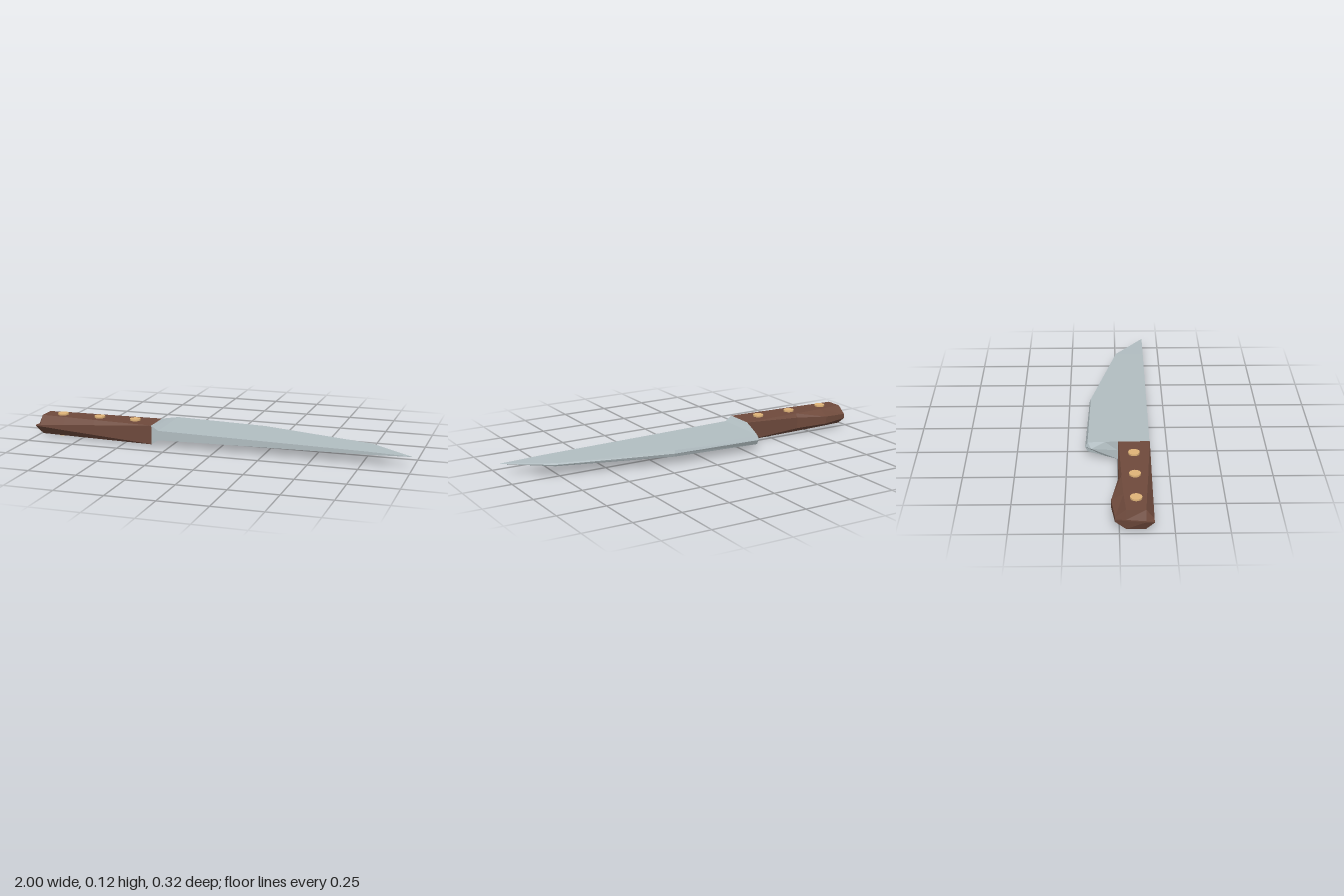
import * as THREE from 'three';

const MID = 0.059; // height of the knife's centre plane

// Skins a list of closed rings of [x, y, z] points running towards +x, with capped ends.
function loft(rings) {
  const n = rings[0].length;
  const pos = [];
  const tri = (a, b, c) => pos.push(...a, ...b, ...c);
  for (let i = 0; i < rings.length - 1; i++) {
    for (let j = 0; j < n; j++) {
      const k = (j + 1) % n;
      const a = rings[i][j], b = rings[i + 1][j], c = rings[i + 1][k], d = rings[i][k];
      tri(a, d, c);
      tri(a, c, b);
    }
  }
  const first = rings[0], last = rings[rings.length - 1];
  for (let j = 1; j < n - 1; j++) {
    tri(first[0], first[j + 1], first[j]);
    tri(last[0], last[j], last[j + 1]);
  }
  const geometry = new THREE.BufferGeometry();
  geometry.setAttribute('position', new THREE.Float32BufferAttribute(pos, 3));
  geometry.computeVertexNormals();
  return geometry;
}

// Blade cross-section: flat spine, flat sides and a pointed cutting edge.
function bladeRing([x, spine, side, edge, half]) {
  return [
    [x, MID, edge],
    [x, MID + half, side],
    [x, MID + half, spine],
    [x, MID - half, spine],
    [x, MID - half, side],
  ];
}

// Handle cross-section: flat top and bottom with chamfers to narrow front and back faces.
function handleRing([x, back, topBack, topFront, front, halfBack, halfFront, half]) {
  return [
    [x, MID - halfBack, back],
    [x, MID + halfBack, back],
    [x, MID + half, topBack],
    [x, MID + half, topFront],
    [x, MID + halfFront, front],
    [x, MID - halfFront, front],
    [x, MID - half, topFront],
    [x, MID - half, topBack],
  ];
}

export function createModel() {
  const group = new THREE.Group();
  const add = (name, geometry, color) => {
    const material = new THREE.MeshStandardMaterial({ color, flatShading: true });
    const mesh = new THREE.Mesh(geometry, material);
    mesh.name = name;
    group.add(mesh);
    return mesh;
  };

  // Blade with its flared bolster: x, spine z, side z, edge z, half thickness
  const blade = [
    [-0.345, 0.158, 0.004, 0.0, 0.05],
    [-0.33, 0.158, -0.062, -0.13, 0.039],
    [-0.308, 0.158, -0.148, -0.16, 0.025],
    [0.18, 0.158, -0.135, -0.141, 0.017],
    [0.77, 0.158, 0.004, 0.0, 0.008],
    [0.995, 0.158, 0.156, 0.155, 0.0005],
  ].map(bladeRing);
  add('blade', loft(blade), 0xb2bec2);

  // Handle: x, back z, top back z, top front z, front z, half heights (back, front, top)
  const handle = [
    [-1, -0.02, 0.03, 0.12, 0.157, 0.002, 0.002, 0.003],
    [-0.975, -0.02, 0.03, 0.12, 0.157, 0.012, 0.004, 0.05],
    [-0.84, -0.036, 0.02, 0.128, 0.157, 0.02, 0.014, 0.05],
    [-0.67, -0.001, 0.014, 0.139, 0.157, 0.03, 0.026, 0.05],
    [-0.345, 0.003, 0.004, 0.157, 0.158, 0.049, 0.049, 0.05],
  ].map(handleRing);
  // Slant the butt ridge so it leans forward towards the back
  for (const p of handle[0]) p[0] += ((0.157 - p[2]) / 0.177) * 0.023;
  add('handle', loft(handle), 0x6f4a3c);

  // Three rivets passing through the handle
  [-0.875, -0.665, -0.465].forEach((x, i) => {
    const rivet = add('rivet' + (i + 1), new THREE.CylinderGeometry(0.028, 0.028, 0.118, 16), 0xe0b478);
    rivet.position.set(x, MID, 0.077);
  });

  return group;
}
